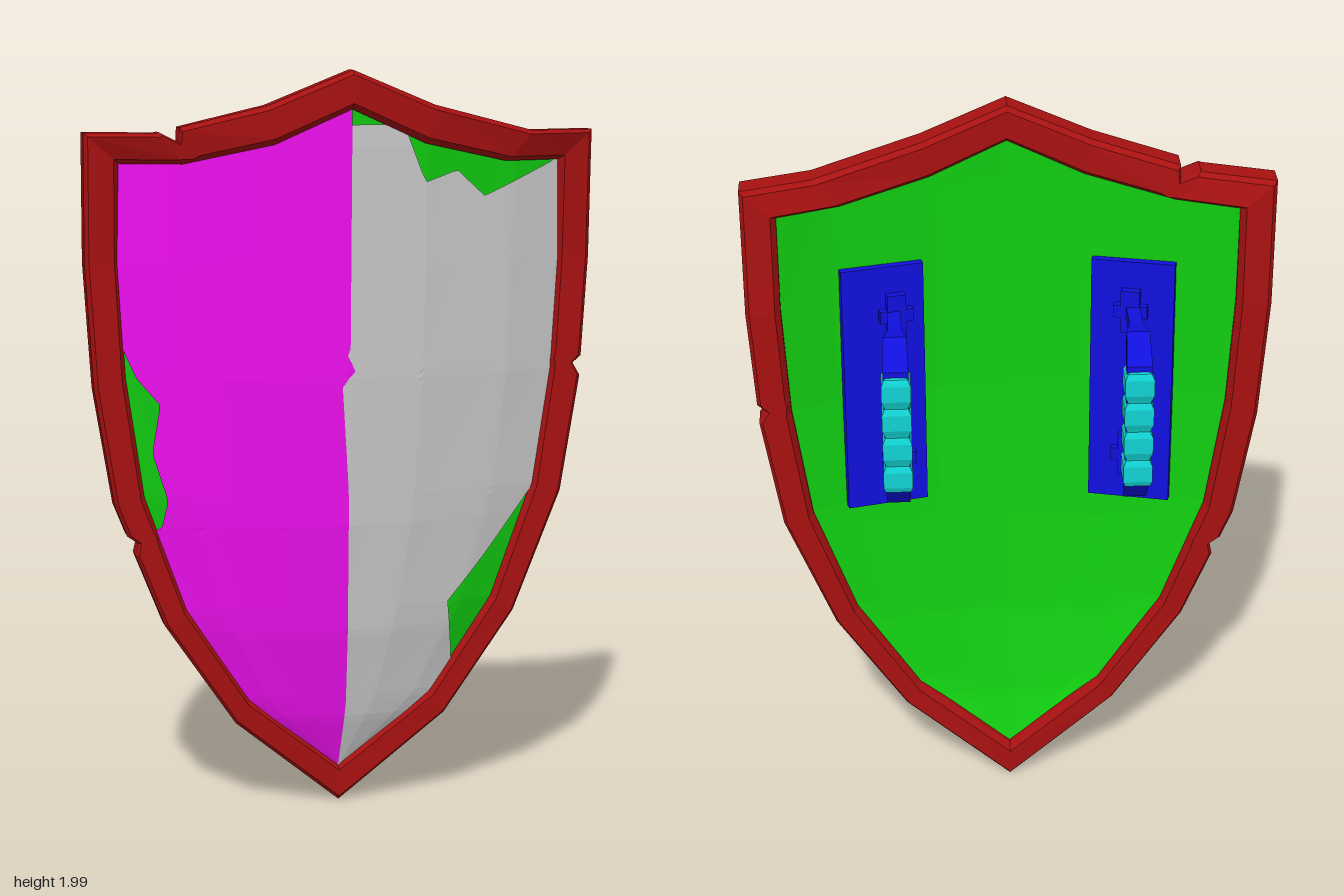
import * as THREE from 'three';

const mat = (color) => new THREE.MeshStandardMaterial({ color, flatShading: true, side: THREE.DoubleSide });
const RED = mat(0xa81111), GREEN = mat(0x11cc11), MAGENTA = mat(0xf010f0), GREY = mat(0xcccccc);
const BLUE = mat(0x1010dd), CYAN = mat(0x11d0d0);

const add = (parent, name, geometry, material, pos = [0, 0, 0]) => {
  const m = new THREE.Mesh(geometry, material);
  m.name = name;
  m.position.set(...pos);
  parent.add(m);
  return m;
};

// Piecewise-linear lookup in a list of [key, value] with rising keys
const lookup = (pts, k) => {
  if (k <= pts[0][0]) return pts[0][1];
  for (let i = 1; i < pts.length; i++) {
    const [a, va] = pts[i - 1], [b, vb] = pts[i];
    if (k <= b) return va + (vb - va) * (k - a) / (b - a);
  }
  return pts[pts.length - 1][1];
};

// Skin through rings of equal point count
function loft(rings, closed) {
  const n = rings[0].length, count = rings.length, index = [];
  for (let i = 0; i < (closed ? count : count - 1); i++) {
    for (let j = 0; j < n; j++) {
      const a = i * n + j, d = i * n + (j + 1) % n;
      const b = ((i + 1) % count) * n + j, c = ((i + 1) % count) * n + (j + 1) % n;
      index.push(a, b, d, b, c, d);
    }
  }
  const g = new THREE.BufferGeometry();
  g.setAttribute('position', new THREE.Float32BufferAttribute(rings.flat(2), 3));
  g.setIndex(index);
  g.computeVertexNormals();
  return g;
}

// Right half of the rim: outer x, outer y, inner x, inner y, z
const HALF = [
  [0, 0.01, 0, 0.11, -0.03], [0.29, 0.25, 0.25, 0.31, 0], [0.48, 0.53, 0.42, 0.57, 0.01],
  [0.61, 0.86, 0.53, 0.88, 0.01], [0.66, 1.17, 0.575, 1.2, 0.01], [0.68, 1.5, 0.59, 1.5, 0.01],
  [0.68, 1.84, 0.59, 1.76, 0.025], [0.5, 1.84, 0.43, 1.76, 0.085], [0.22, 1.91, 0.2, 1.81, 0.143],
  [0, 2, 0, 1.9, 0.16],
];

function rimGeometry() {
  const mirrored = HALF.slice(1, -1).reverse().map(([a, b, c, d, z]) => [-a, b, -c, d, z]);
  const path = [...HALF, ...mirrored];
  // Battle nicks: segment, position along it, half length, depth
  for (const [i, t, h, depth] of [[15, 0.33, 0.08, 0.25], [10, 0.88, 0.09, 0.38], [4, 0.1, 0.08, 0.25]]) {
    const nick = [[t - h, 0], [t, depth], [t + h, 0]].map(([s, cut]) => {
      const p = path[i].map((v, k) => v + (path[i + 1][k] - v) * s);
      p[0] += (p[2] - p[0]) * cut;
      p[1] += (p[3] - p[1]) * cut;
      return p;
    });
    path.splice(i + 1, 0, ...nick);
  }
  const section = [[0, -0.03], [0, 0.03], [0.12, 0.043], [0.85, 0.043], [1, 0.02], [1, -0.02], [0.85, -0.043], [0.12, -0.043]];
  return loft(path.map(([ox, oy, ix, iy, z]) =>
    section.map(([u, dz]) => [ox + (ix - ox) * u, oy + (iy - oy) * u, z + dz])), true);
}

// Curved shield face: half width, top edge, centre line depth, side depth, cross bulge
const WIDTH = HALF.slice(0, 7).map((p) => [p[3], p[2]]);
const TOP = HALF.slice(6).reverse().map((p) => [p[2], p[3]]);
const CENTRE = [[0.1, -0.005], [0.25, 0.045], [0.5, 0.095], [0.8, 0.13], [1.2, 0.158], [1.8, 0.178], [1.95, 0.18]];
const EDGE = [[0.1, -0.01], [0.25, 0.015], [0.5, 0.025], [1.76, 0.035]];
const BULGE = [[0, 1], [0.33, 0.89], [0.74, 0.45], [1, 0]];
const halfWidth = (y) => lookup(WIDTH, y) + 0.02;
const topEdge = (x) => lookup(TOP, Math.abs(x)) + 0.02;
const faceZ = (x, y) => {
  const e = lookup(EDGE, y);
  return e + (lookup(CENTRE, y) - e) * lookup(BULGE, Math.abs(x) / halfWidth(y));
};

// Sheet of the face between a left and a right border and below a top edge
function sheet(left, right, top, offset) {
  const g = new THREE.PlaneGeometry(1, 1, 48, 80);
  const p = g.attributes.position;
  for (let i = 0; i < p.count; i++) {
    let y = 0.09 + (p.getY(i) + 0.5) * 1.67;
    const x = left(y) + (right(y) - left(y)) * (p.getX(i) + 0.5);
    y += (top(x) - 1.76) * Math.max(0, (y - 1.5) / 0.26);
    p.setXYZ(i, x, y, faceZ(x, y) + offset);
  }
  g.computeVertexNormals();
  return g;
}

// Worn borders of the paint
const SEAM = [[0.11, 0], [0.3, 0.01], [0.9, 0], [1.18, -0.02], [1.225, 0.02], [1.25, -0.01], [1.28, 0], [1.9, 0]];
const CHIP_LEFT = [[0.77, 1], [0.78, 0.49], [0.87, 0.47], [1, 0.51], [1.13, 0.49], [1.2, 0.55], [1.28, 0.585], [1.29, 1]];
const CHIP_RIGHT = [[0.39, 1], [0.4, 0.31], [0.45, 0.305], [0.57, 0.29], [0.7, 0.4], [0.87, 0.53], [0.88, 1]];
const CHIP_TOP = [[0.14, 1.86], [0.2, 1.71], [0.29, 1.74], [0.37, 1.67], [0.57, 1.755], [0.6, 1.78]];

// Handle strap: y, z, half width across x
const STRAP = [[1.445, 0.06, 0.018], [1.445, -0.05, 0.018], [1.455, -0.1, 0.03], [1.4, -0.155, 0.033],
  [1.06, -0.17, 0.033], [1.005, -0.13, 0.03], [1.02, -0.05, 0.018], [1.02, 0.06, 0.018]];

function strapGeometry() {
  const h = 0.017;
  return loft(STRAP.map(([y, z, w], i) => {
    const a = STRAP[Math.max(0, i - 1)], b = STRAP[Math.min(STRAP.length - 1, i + 1)];
    const len = Math.hypot(b[0] - a[0], b[1] - a[1]);
    const ny = -(b[1] - a[1]) / len * h, nz = (b[0] - a[0]) / len * h;
    return [[w, y + ny, z + nz], [-w, y + ny, z + nz], [-w, y - ny, z - nz], [w, y - ny, z - nz]];
  }), false);
}

// Square grip with four swollen beads
function gripGeometry() {
  const pts = [new THREE.Vector2(0, -0.168)];
  for (let i = 0; i < 4; i++) {
    const y = -0.126 + i * 0.084;
    for (const [r, dy] of [[0.046, -0.041], [0.054, -0.026], [0.054, 0.018], [0.046, 0.03], [0.042, 0.034]])
      pts.push(new THREE.Vector2(r, y + dy));
  }
  pts.push(new THREE.Vector2(0, 0.168));
  return new THREE.LatheGeometry(pts, 4).rotateY(Math.PI / 4);
}

function handle(name, side, x) {
  const g = new THREE.Group();
  g.name = name;
  // Mounting plate and feet follow the tilt of the back
  const mount = new THREE.Group();
  mount.name = 'mount';
  mount.position.set(side * 0.33, 1.23, 0.065);
  mount.rotation.set(0.05, side * 0.24, 0);
  add(mount, 'plate', new THREE.BoxGeometry(0.22, 0.7, 0.03), BLUE);
  for (const y of [0.215, -0.21]) {
    add(mount, 'foot', new THREE.BoxGeometry(0.05, 0.12, 0.03), BLUE, [x - side * 0.33, y, -0.022]);
    add(mount, 'footBar', new THREE.BoxGeometry(0.09, 0.035, 0.026), BLUE, [x - side * 0.33, y, -0.022]);
  }
  g.add(mount);
  add(g, 'strap', strapGeometry(), BLUE, [x, 0, 0]);
  add(g, 'grip', gripGeometry(), CYAN, [x, 1.225, -0.158]).rotation.x = 0.045;
  return g;
}

export function createModel() {
  const model = new THREE.Group();
  model.name = 'shield';
  add(model, 'rim', rimGeometry(), RED);

  // Body boards
  const left = (y) => -halfWidth(y);
  add(model, 'bodyFront', sheet(left, halfWidth, topEdge, -0.006), GREEN);
  add(model, 'bodyBack', sheet(left, halfWidth, topEdge, -0.035), GREEN);

  // Two-tone painted face
  const seam = (y) => lookup(SEAM, y);
  add(model, 'paintRight', sheet((y) => -Math.min(halfWidth(y), lookup(CHIP_LEFT, y)), seam, topEdge, 0), MAGENTA);
  add(model, 'paintLeft', sheet(seam, (y) => Math.min(halfWidth(y), lookup(CHIP_RIGHT, y)),
    (x) => Math.min(topEdge(x), lookup(CHIP_TOP, x)), 0), GREY);

  model.add(handle('leftHandle', 1, 0.298), handle('rightHandle', -1, -0.327));
  return model;
}
